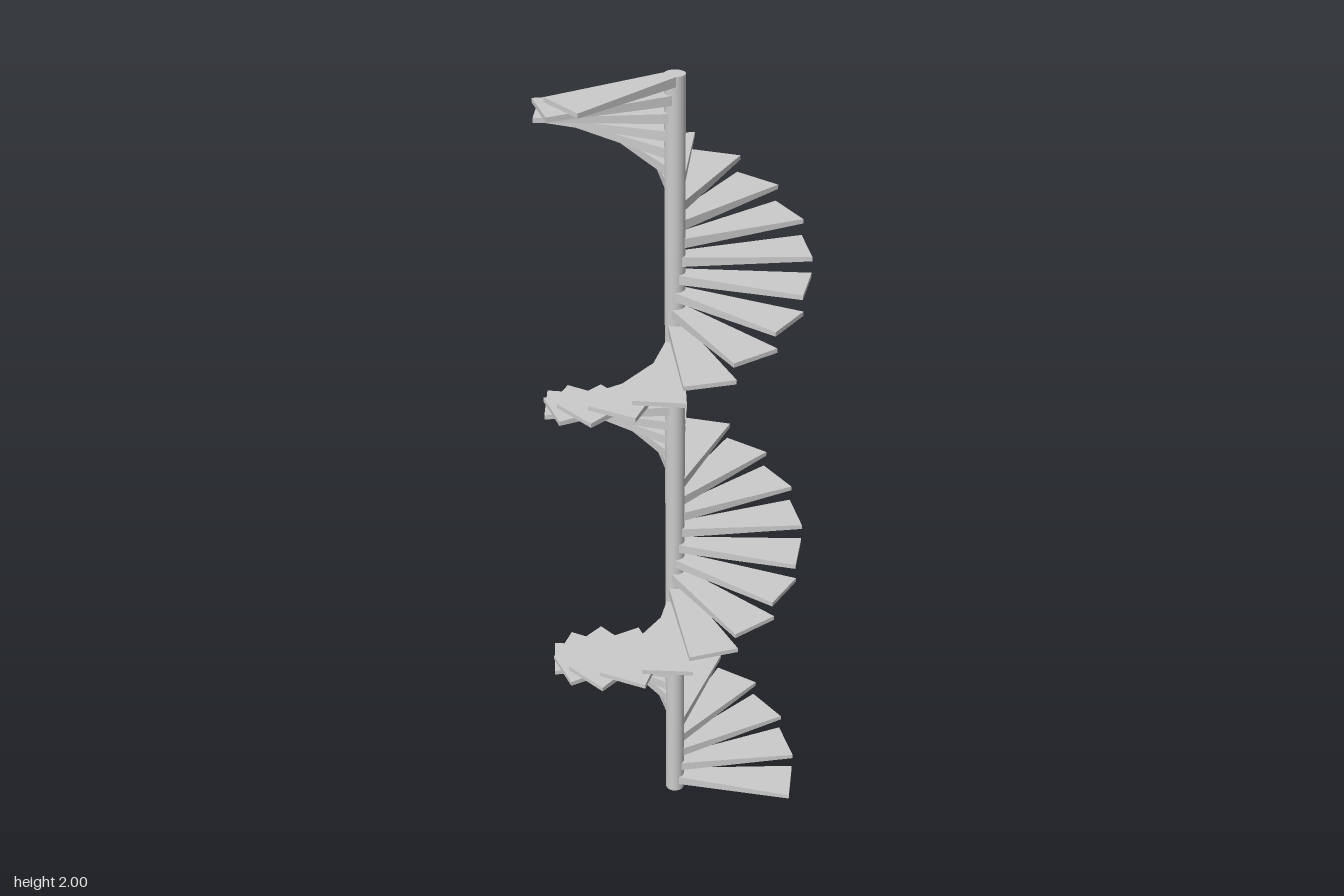
import * as THREE from 'three';

const STEPS = 46;
const RISE = 2 / STEPS;
const TURN = THREE.MathUtils.degToRad(21);
const START = THREE.MathUtils.degToRad(-22.2);

// Wedge tread along +x with a flat top at y = 0: it widens and thins towards the tip
function treadGeometry() {
  const length = 0.309, root = { w: 0.018, t: 0.024 }, tip = { w: 0.0613, t: 0.011 };
  const geometry = new THREE.BoxGeometry(1, 1, 1);
  const p = geometry.attributes.position;
  for (let i = 0; i < p.count; i++) {
    const end = p.getX(i) > 0 ? tip : root;
    p.setXYZ(
      i,
      p.getX(i) > 0 ? length : 0,
      p.getY(i) > 0 ? 0 : -end.t,
      Math.sign(p.getZ(i)) * end.w
    );
  }
  geometry.computeVertexNormals();
  return geometry;
}

export function createModel() {
  const model = new THREE.Group();
  model.name = 'spiralStaircase';
  const material = new THREE.MeshStandardMaterial({ color: 0xcccccc });

  // Central pole
  const pole = new THREE.Mesh(new THREE.CylinderGeometry(0.024, 0.024, 2, 32), material);
  pole.name = 'centralPole';
  pole.position.y = 1;
  model.add(pole);

  // Treads winding counterclockwise up the pole
  const treads = new THREE.Group();
  treads.name = 'treads';
  const geometry = treadGeometry();
  for (let i = 0; i < STEPS; i++) {
    const tread = new THREE.Mesh(geometry, material);
    tread.name = `tread${i + 1}`;
    tread.position.y = (i + 1) * RISE;
    tread.rotation.y = START + i * TURN;
    treads.add(tread);
  }
  model.add(treads);

  return model;
}
